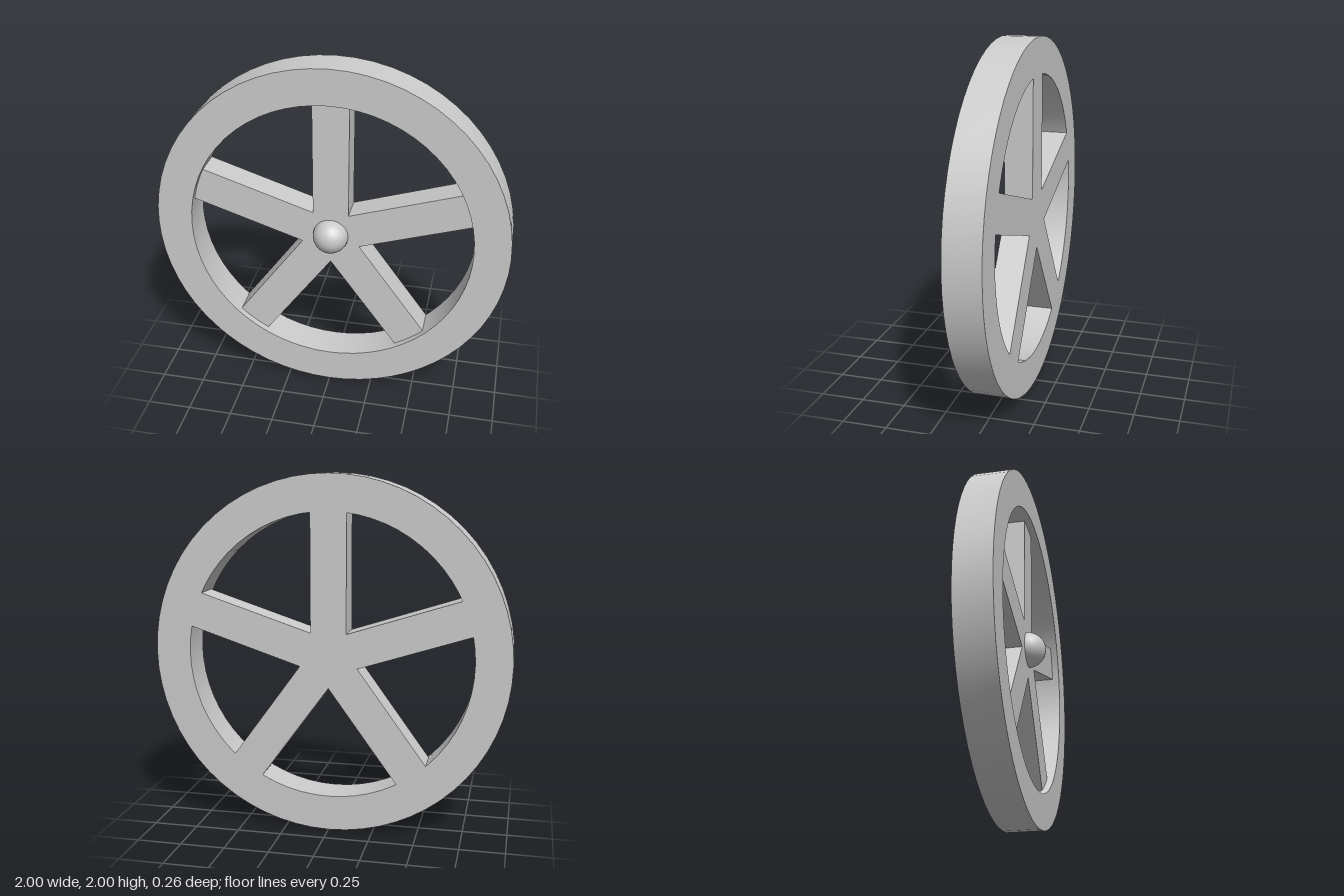
import * as THREE from 'three';
import { toCreasedNormals } from 'three/addons/utils/BufferGeometryUtils.js';

const BACK = -0.13;          // back plane shared by rim and spokes
const RIM_DEPTH = 0.2;
const SPOKE_DEPTH = 0.16;    // spokes sit slightly behind the rim's front
const SPOKES = 5;
const HALF_WIDTH = 0.1;

export function createModel() {
  const group = new THREE.Group();
  group.name = 'wheel';
  const material = new THREE.MeshStandardMaterial({ color: 0xcccccc });

  const add = (name, geometry, z) => {
    const mesh = new THREE.Mesh(geometry, material);
    mesh.name = name;
    mesh.position.set(0, 1, z);
    group.add(mesh);
  };
  const extrude = (shape, depth) => toCreasedNormals(
    new THREE.ExtrudeGeometry(shape, { depth, bevelEnabled: false, curveSegments: 32 }), 0.5);

  // Rim: flat ring, 32 sides
  const ring = new THREE.Shape().absarc(0, 0, 1, 0, Math.PI * 2, false);
  ring.holes.push(new THREE.Path().absarc(0, 0, 0.8, 0, Math.PI * 2, true));
  add('rim', extrude(ring, RIM_DEPTH), BACK);

  // Spokes: one star outline, each spoke ending just inside the rim
  const outline = [];
  const step = (Math.PI * 2) / SPOKES;
  const inner = HALF_WIDTH / Math.tan(step / 2);
  for (let i = 0; i < SPOKES; i++) {
    const angle = Math.PI / 2 + i * step;
    for (const [along, across] of [[inner, -HALF_WIDTH], [0.82, -HALF_WIDTH], [0.82, HALF_WIDTH]]) {
      outline.push(new THREE.Vector2(along, across).rotateAround(new THREE.Vector2(), angle));
    }
  }
  add('spokes', extrude(new THREE.Shape(outline), SPOKE_DEPTH), BACK);

  // Hub cap: ball half sunk into the spokes' front face
  add('hubCap', new THREE.SphereGeometry(0.1, 32, 16), BACK + SPOKE_DEPTH);

  return group;
}
